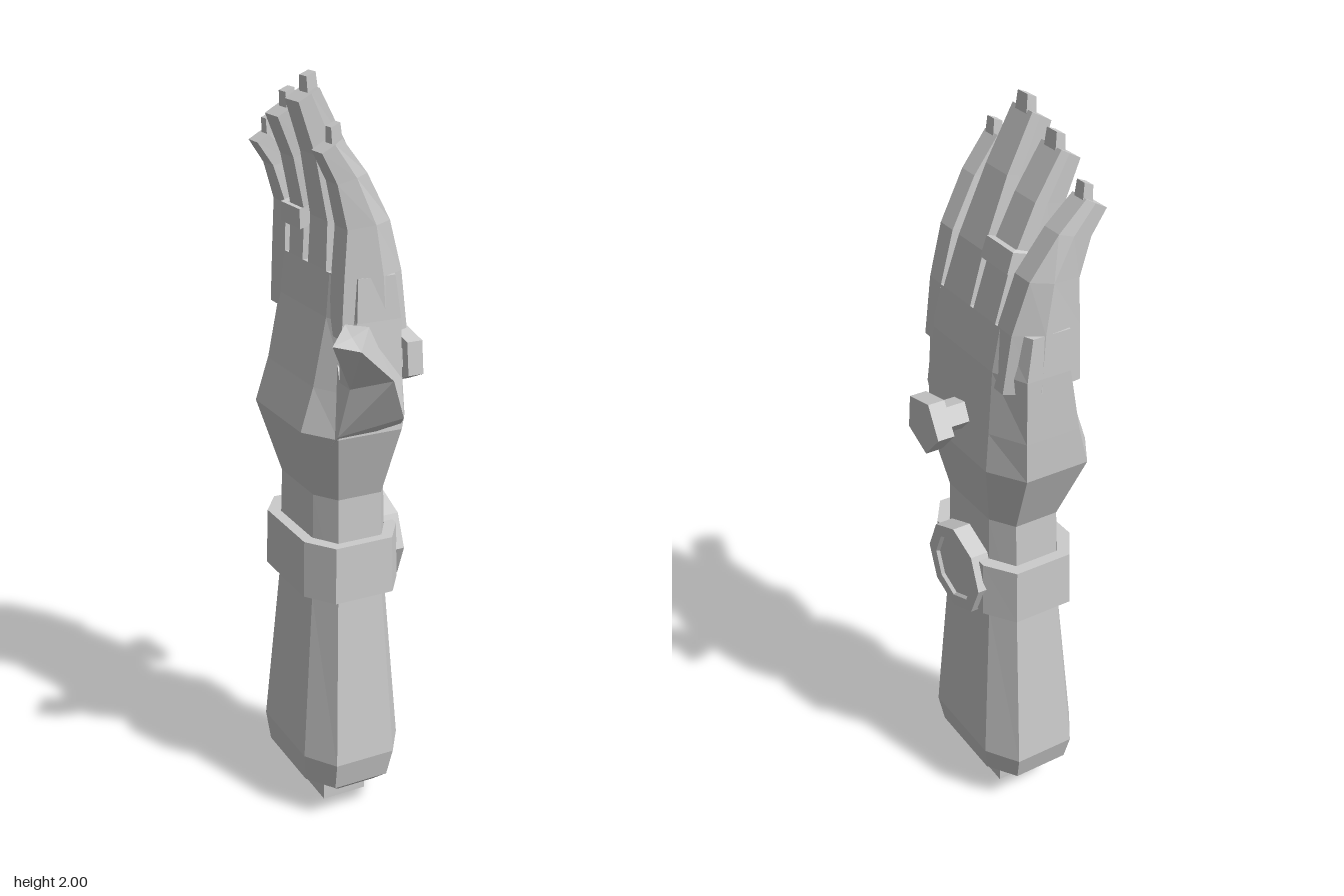
import * as THREE from 'three';

const material = new THREE.MeshStandardMaterial({ color: 0xcccccc, flatShading: true });
const lerp = THREE.MathUtils.lerp;

function addMesh(parent, name, geometry) {
  const mesh = new THREE.Mesh(geometry, material);
  mesh.name = name;
  parent.add(mesh);
  return mesh;
}

// Skin a list of rings (each a list of [x, y, z]); closed joins the last ring to the first.
function loft(rings, closed = false) {
  const n = rings[0].length, m = rings.length, tris = [];
  for (let i = 0; i < (closed ? m : m - 1); i++) {
    const a = rings[i], b = rings[(i + 1) % m];
    for (let j = 0; j < n; j++) {
      const k = (j + 1) % n;
      tris.push([a[j], b[j], b[k]], [a[j], b[k], a[k]]);
    }
  }
  if (!closed) {
    const centre = r => [0, 1, 2].map(c => r.reduce((s, p) => s + p[c], 0) / n);
    const first = rings[0], last = rings[m - 1], c0 = centre(first), c1 = centre(last);
    for (let j = 0; j < n; j++) {
      const k = (j + 1) % n;
      tris.push([c0, first[j], first[k]], [c1, last[k], last[j]]);
    }
  }
  // Turn faces outward, using the sign of the enclosed volume
  let volume = 0;
  for (const [a, b, c] of tris) {
    volume += a[0] * (b[1] * c[2] - b[2] * c[1]) + a[1] * (b[2] * c[0] - b[0] * c[2])
      + a[2] * (b[0] * c[1] - b[1] * c[0]);
  }
  if (volume < 0) tris.forEach(t => t.reverse());
  const geometry = new THREE.BufferGeometry();
  geometry.setAttribute('position', new THREE.Float32BufferAttribute(tris.flat(2), 3));
  geometry.computeVertexNormals();
  return geometry;
}

// Chamfered rectangle at height y
function octagon(y, x0, x1, z0, z1, k = 0.6) {
  const cx = (x0 + x1) / 2, a = (x1 - x0) / 2, cz = (z0 + z1) / 2, b = (z1 - z0) / 2;
  return [[1, k], [k, 1], [-k, 1], [-1, k], [-1, -k], [-k, -1], [k, -1], [1, -k]]
    .map(([u, v]) => [cx + u * a, y, cz + v * b]);
}

// Finger: base and tip spans in z, height, and chamfer of the back edge on each side
function finger(base, tip, height, chamfer0, chamfer1) {
  const steps = [
    // y, palm x, back x, blend from base to tip, slope of the section
    [1.38, -0.108, 0.088, 0, 0],
    [1.53, -0.1, 0.069, 0.1, 0],
    [1.66, -0.092, 0.031, 0.4, 0.01],
    [lerp(1.66, height, 0.5), -0.118, -0.036, 0.8, 0.02],
    [height - 0.035, -0.157, -0.103, 1, 0.03],
  ];
  const rings = steps.map(([y, palm, back, t, slope]) => {
    const z0 = lerp(base[0], tip[0], t), z1 = lerp(base[1], tip[1], t), w = z1 - z0;
    const mid = lerp(palm, back, 0.6), f = 1 - 0.75 * t;
    const i0 = chamfer0 * f * w, i1 = chamfer1 * f * w, p = 0.12 * f * w;
    return [[back, y, z0 + i0], [back, y, z1 - i1], [mid, y - slope * 0.4, z1],
      [palm, y - slope, z1 - p], [palm, y - slope, z0 + p], [mid, y - slope * 0.4, z0]];
  });
  return loft(rings);
}

function fingernail([z0, z1], h) {
  const inset = (z1 - z0) * 0.2;
  const ring = (y, x0, x1, d) => [[x1, y, z0 + d], [x1, y, z1 - d], [x0, y - 0.01, z1 - d], [x0, y - 0.01, z0 + d]];
  return loft([ring(h - 0.06, -0.125, -0.097, inset), ring(h, -0.127, -0.103, inset * 1.3)]);
}

export function createModel() {
  const model = new THREE.Group();
  model.name = 'armAndHand';

  // Mounting peg under the forearm
  const peg = addMesh(model, 'peg', new THREE.BoxGeometry(0.128, 0.12, 0.17));
  peg.position.set(-0.052, 0.06, -0.07);

  // Forearm, wrist and palm in one skin
  addMesh(model, 'forearmAndPalm', loft([
    octagon(0.085, -0.15, 0.03, -0.23, 0.1),
    octagon(0.11, -0.188, 0.075, -0.262, 0.128),
    octagon(0.19, -0.195, 0.09, -0.285, 0.145),
    octagon(0.66, -0.155, 0.06, -0.235, 0.105),
    octagon(0.95, -0.147, 0.057, -0.222, 0.098),
    octagon(1.14, -0.195, 0.1, -0.303, 0.16),
    octagon(1.25, -0.155, 0.096, -0.306, 0.15),
    octagon(1.42, -0.112, 0.09, -0.308, 0.135),
    octagon(1.53, -0.1, 0.069, -0.306, 0.13),
  ]));

  // Fingers: base span, tip span, height, back chamfers
  const fingers = {
    index: [[0.04, 0.134], [0.066, 0.128], 1.9, 0.04, 0.42],
    middle: [[-0.095, 0.042], [-0.078, 0.005], 2.0, 0.04, 0.04],
    ring: [[-0.202, -0.097], [-0.196, -0.115], 1.95, 0.04, 0.04],
    little: [[-0.308, -0.2], [-0.302, -0.242], 1.87, 0.42, 0.04],
  };
  for (const [name, spec] of Object.entries(fingers)) {
    addMesh(model, name + 'Finger', finger(...spec));
    addMesh(model, name + 'Fingernail', fingernail(spec[1], spec[2]));
  }

  // Thumb, bending outward and toward the palm side
  addMesh(model, 'thumb', loft([
    [[-0.15, 1.08, 0.1], [0.06, 1.1, 0.09], [0.06, 1.36, 0.07], [-0.1, 1.36, 0.07]],
    [[-0.14, 1.15, 0.165], [0.03, 1.18, 0.19], [0.045, 1.27, 0.15], [-0.12, 1.28, 0.135]],
    [[-0.135, 1.29, 0.22], [-0.04, 1.31, 0.265], [-0.05, 1.38, 0.2], [-0.14, 1.36, 0.175]],
    [[-0.205, 1.42, 0.27], [-0.15, 1.41, 0.308], [-0.11, 1.455, 0.27], [-0.15, 1.455, 0.225]],
  ]));

  // Watch strap
  addMesh(model, 'watchStrap', loft([
    octagon(0.675, -0.187, 0.09, -0.262, 0.132),
    octagon(0.83, -0.182, 0.088, -0.258, 0.128),
    octagon(0.83, -0.152, 0.06, -0.228, 0.1),
    octagon(0.675, -0.152, 0.06, -0.228, 0.1),
  ], true));

  // Watch case: turned octagon with a raised rim and sunken dial, facing +x
  const profile = [[0, 0.04], [0.125, 0.04], [0.125, 0.108], [0.09, 0.108], [0.085, 0.099], [0, 0.099]];
  const watch = addMesh(model, 'watchCase',
    new THREE.LatheGeometry(profile.map(p => new THREE.Vector2(...p)), 8));
  watch.rotation.z = -Math.PI / 2;
  watch.position.set(0, 0.755, -0.065);

  // Band around the ring finger, tilted with the finger
  const hoop = (dy, x0, x1, z0, z1) =>
    [[x1, 1.655 + dy, z0], [x1, 1.655 + dy, z1], [x0, 1.61 + dy, z1], [x0, 1.61 + dy, z0]];
  addMesh(model, 'fingerRing', loft([
    hoop(0, -0.112, 0.046, -0.211, -0.096),
    hoop(0.05, -0.112, 0.03, -0.209, -0.098),
    hoop(0.05, -0.098, 0.016, -0.197, -0.108),
    hoop(0, -0.098, 0.03, -0.197, -0.108),
  ], true));

  // Five-sided stud on the back of the hand
  const stud = new THREE.Group();
  stud.name = 'handStud';
  const parts = [['studStem', 0.042, 0.06, 0.17], ['studHead', 0.077, 0.16, 0.205]];
  for (const [name, radius, x0, x1] of parts) {
    const geometry = new THREE.CylinderGeometry(radius, radius, x1 - x0, 5);
    geometry.rotateY(Math.PI / 2).rotateZ(-Math.PI / 2);
    geometry.translate((x0 + x1) / 2, 0, 0);
    geometry.rotateX(Math.PI / 2 - 0.1);
    addMesh(stud, name, geometry);
  }
  stud.position.set(0, 1.245, -0.087);
  model.add(stud);

  return model;
}
